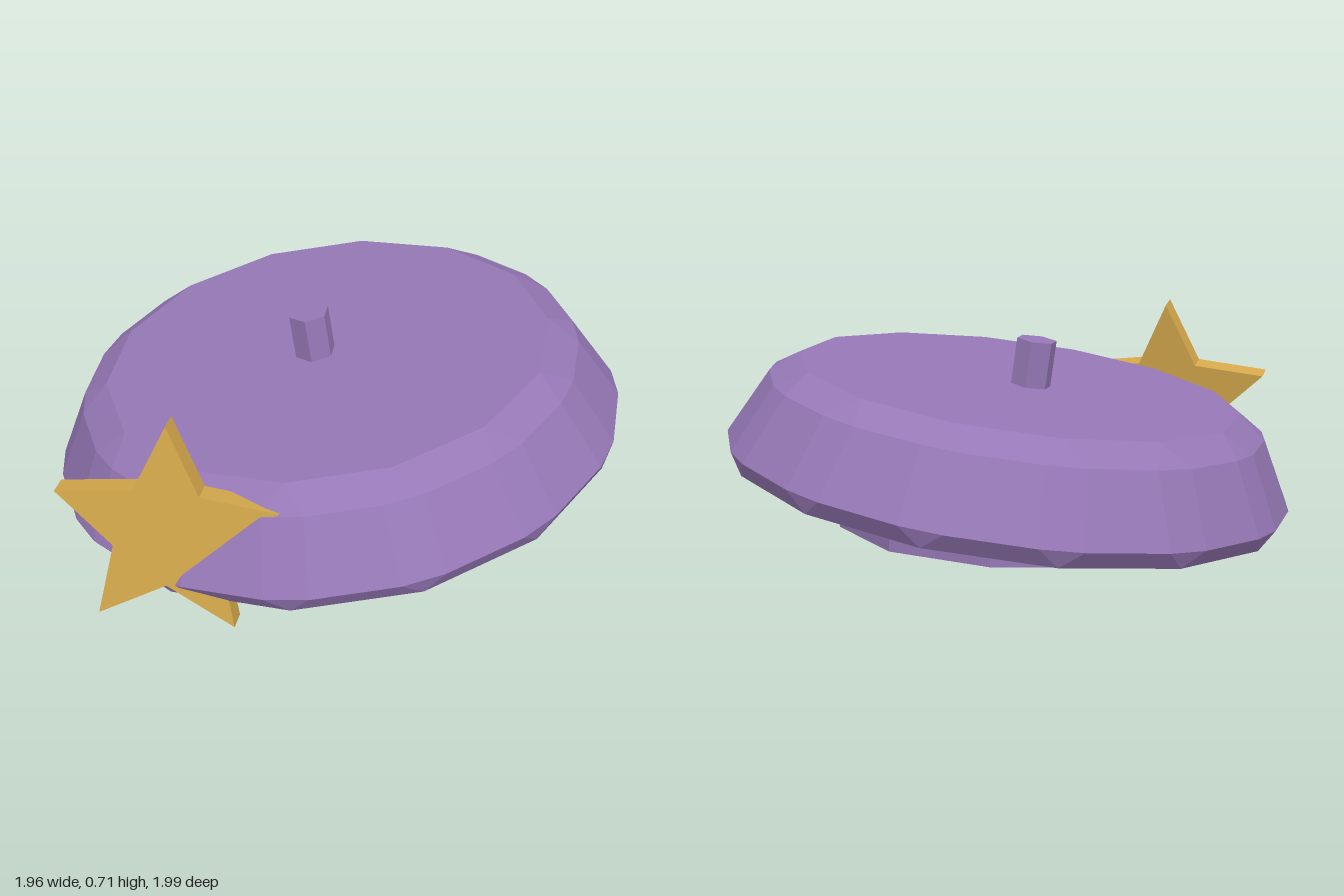
import * as THREE from 'three';
import { ConvexGeometry } from 'three/addons/geometries/ConvexGeometry.js';

const rad = THREE.MathUtils.degToRad;

function add(parent, name, geometry, material, x = 0, y = 0, z = 0) {
  const mesh = new THREE.Mesh(geometry, material);
  mesh.name = name;
  mesh.position.set(x, y, z);
  parent.add(mesh);
  return mesh;
}

// Fourteen-sided puffed disc; the corners of its two middle rings are bevelled
function crownGeometry() {
  const sides = 14;
  const rings = [ // radius, height, half angle of the corner bevel
    [0.973, 0, 0],
    [1.0, 0.063, rad(4.3)],
    [0.877, 0.3, rad(4.6)],
    [0.782, 0.367, 0],
  ];
  const points = [];
  for (const [r, y, bevel] of rings) {
    for (let i = 0; i < sides; i++) {
      const a = ((i + 0.5) / sides) * Math.PI * 2;
      for (const t of bevel ? [a - bevel, a + bevel] : [a]) {
        points.push(new THREE.Vector3(r * Math.cos(t), y, r * Math.sin(t)));
      }
    }
  }
  return new ConvexGeometry(points);
}

// Five-pointed star plate, centred on its thickness
function starGeometry(outer, inner, depth) {
  const shape = new THREE.Shape();
  for (let i = 0; i < 10; i++) {
    const a = Math.PI / 2 + (i * Math.PI) / 5;
    const r = i % 2 ? inner : outer;
    shape[i ? 'lineTo' : 'moveTo'](r * Math.cos(a), r * Math.sin(a));
  }
  shape.closePath();
  return new THREE.ExtrudeGeometry(shape, { depth, bevelEnabled: false }).translate(0, 0, -depth / 2);
}

export function createModel() {
  const felt = new THREE.MeshStandardMaterial({ color: 0x9678b6, flatShading: true });
  felt.name = 'purple felt';
  const gold = new THREE.MeshStandardMaterial({ color: 0xd4a84b, flatShading: true });
  gold.name = 'gold';

  const beret = new THREE.Group();
  beret.name = 'beret';

  // Level head band under the crown
  add(beret, 'headBand', new THREE.CylinderGeometry(0.755, 0.755, 0.145, 12), felt, -0.145, 0.1025, 0.025);

  // Tilted crown with its stalk
  const top = new THREE.Group();
  top.name = 'tiltedTop';
  top.position.set(0.01, 0.143, 0);
  top.rotation.z = rad(8);
  beret.add(top);
  add(top, 'crown', crownGeometry(), felt);
  add(top, 'stalk', new THREE.CylinderGeometry(0.072, 0.072, 0.23, 6), felt, -0.04, 0.415, 0);

  // Star badge leaning back against the front rim
  const star = add(beret, 'starBadge', starGeometry(0.388, 0.186, 0.083), gold, -0.41, 0.322, 0.85);
  star.rotation.x = rad(-9.5);

  return beret;
}
